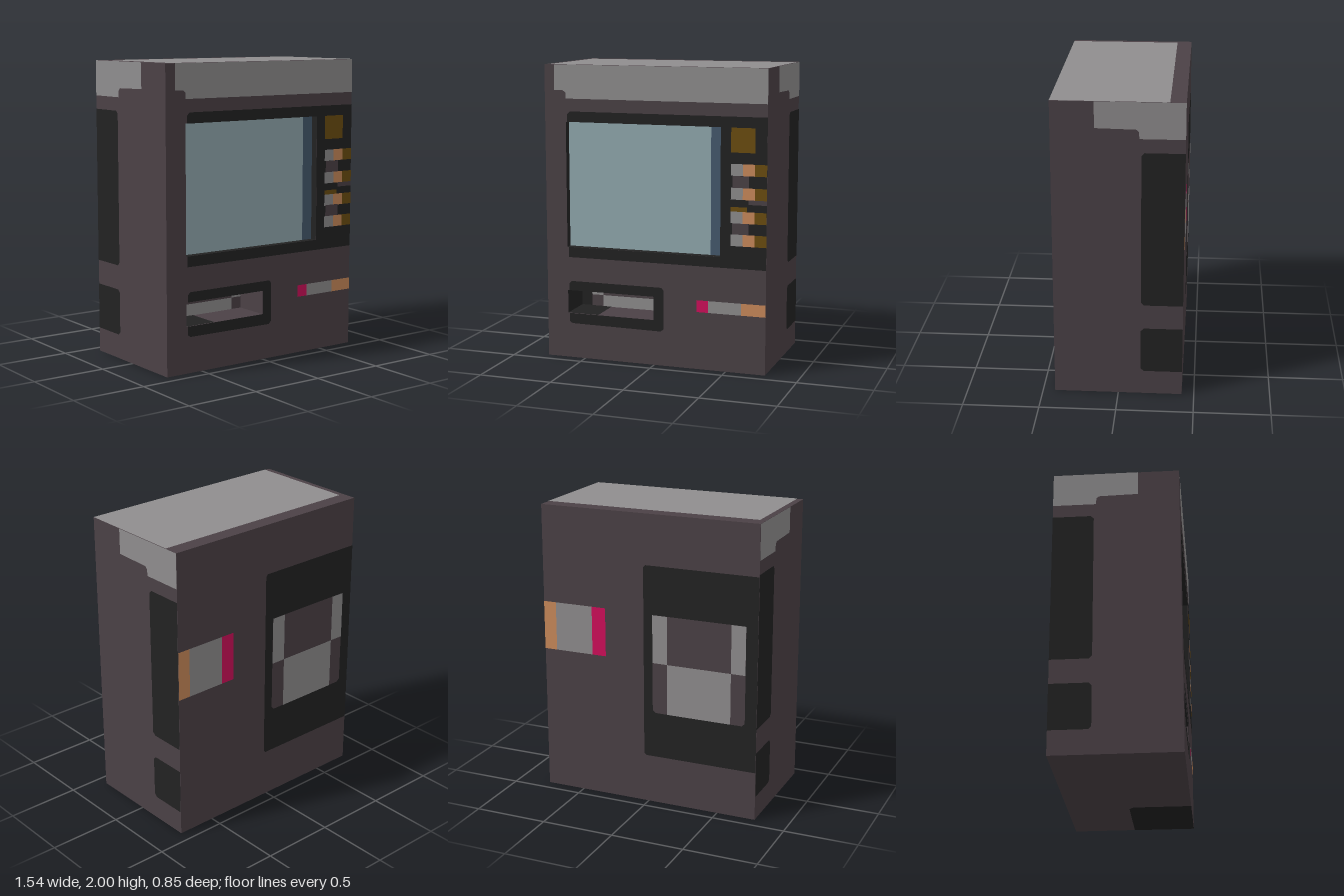
import * as THREE from 'three';

const W = 0.77, D = 0.42, H = 2;
const STEP = 0.002; // spacing between painted layers

const paint = (name, color) => {
  const m = new THREE.MeshStandardMaterial({ color });
  m.name = name;
  return m;
};

export function createModel() {
  const model = new THREE.Group();
  model.name = 'vendingMachine';

  const brown = paint('brown casing', 0x4b4146);
  const black = paint('black trim', 0x222222);
  const grey = paint('grey metal', 0x8f8d8e);
  const glass = paint('pale glass', 0x92a9af);
  const blue = paint('blue glass edge', 0x465a6e);
  const gold = paint('gold', 0x6c4d10);
  const orange = paint('orange', 0xca8a5b);
  const pink = paint('pink', 0xd00f5b);

  // A flat working plane: local x right, y up, z outward
  const plane = (name, x, y, z, rx = 0, ry = 0) => {
    const g = new THREE.Group();
    g.name = name;
    g.position.set(x, y, z);
    g.rotation.set(rx, ry, 0);
    model.add(g);
    return g;
  };
  const poly = (parent, name, mat, pts, layer = 0, holes = []) => {
    const shape = new THREE.Shape(pts.map(p => new THREE.Vector2(...p)));
    holes.forEach(h => shape.holes.push(new THREE.Path(h.map(p => new THREE.Vector2(...p)))));
    const mesh = new THREE.Mesh(new THREE.ShapeGeometry(shape), mat);
    mesh.name = name;
    mesh.position.z = layer * STEP;
    parent.add(mesh);
    return mesh;
  };
  // Rectangle with optional trimmed corners on the left (l) and right (r)
  const rect = (x0, y0, x1, y1, l = 0, r = 0) => {
    const pts = [];
    if (l) pts.push([x0, y1 - l], [x0, y0 + l], [x0 + l, y0]); else pts.push([x0, y1], [x0, y0]);
    if (r) pts.push([x1 - r, y0], [x1, y0 + r], [x1, y1 - r], [x1 - r, y1]); else pts.push([x1, y0], [x1, y1]);
    if (l) pts.push([x0 + l, y1]);
    return pts;
  };

  // Openings in the front
  const win = { x0: -0.62, y0: 0.77, x1: 0.46, y1: 1.62, d: 0.05 };
  const tray = { x0: -0.62, y0: 0.31, x1: 0, y1: 0.47, d: 0.25 };
  const outline = o => rect(o.x0, o.y0, o.x1, o.y1);

  // Front casing and trim
  const front = plane('front', 0, 0, D);
  poly(front, 'frontCasing', brown, rect(-W, 0, W, H), 0, [outline(win), outline(tray)]);
  poly(front, 'frontCanopy', grey,
    [[-0.7, H], [-0.7, 1.83], [-0.64, 1.83], [-0.62, 1.815], [-0.62, 1.775], [W, 1.775], [W, H]], 1);
  poly(front, 'windowFrame', black, [
    [-0.59, 1.69], [-0.61, 1.67], [-0.61, win.y1], [win.x1, win.y1], [win.x1, win.y0],
    [-0.61, win.y0], [-0.61, 0.7], [W, 0.7], [W, 1.69]], 1);
  poly(front, 'trayFrame', black, [
    [-0.59, 0.535], [-0.61, 0.515], [-0.61, tray.y1], [tray.x1, tray.y1], [tray.x1, tray.y0],
    [-0.61, tray.y0], [-0.61, 0.255], [-0.59, 0.24], [0.05, 0.235], [0.07, 0.255], [0.07, 0.515], [0.055, 0.535]], 1);

  // Keypad: display and four rows of buttons
  poly(front, 'display', gold, rect(0.53, 1.46, 0.69, 1.62), 2);
  for (const y of [0.85, 1.0, 1.155, 1.31]) {
    [grey, orange, gold].forEach((mat, i) => {
      const x = 0.53 + i * 0.08;
      poly(front, 'button', mat, rect(x, y, x + 0.08, y + 0.077), 2);
    });
  }
  for (const y of [0.927, 1.232]) poly(front, 'keypadGap', brown, rect(0.54, y, 0.65, y + 0.077), 2);
  poly(front, 'keypadLine', gold, rect(0.53, 1.077, 0.64, 1.107), 2);
  poly(front, 'keypadLine', brown, rect(0.65, 1.125, W, 1.155), 2);

  // Three-colour strips, from the pink end to the casing edge
  const strip = (face, y0, y1, xs) => [pink, grey, orange].forEach((mat, i) =>
    poly(face, 'strip', mat, rect(xs[i], y0, xs[i + 1], y1), 1));
  strip(front, 0.39, 0.47, [0.3, 0.38, 0.605, W]);

  // Recess walls
  const recess = (o, name, leftMat, rightMat, floorMat, topMat) => {
    const w = o.x1 - o.x0, h = o.y1 - o.y0, zc = D - o.d / 2, xc = (o.x0 + o.x1) / 2, yc = (o.y0 + o.y1) / 2;
    const wall = (part, mat, a, b, x, y, rx, ry) => {
      const g = plane(name + part, x, y, zc, rx, ry);
      poly(g, name + part, mat, rect(-a / 2, -b / 2, a / 2, b / 2));
      return g;
    };
    wall('LeftWall', leftMat, o.d, h, o.x0, yc, 0, Math.PI / 2);
    wall('RightWall', rightMat, o.d, h, o.x1, yc, 0, -Math.PI / 2);
    wall('Ceiling', topMat, w, o.d, xc, o.y1, Math.PI / 2, 0);
    return wall('Floor', floorMat, w, o.d, xc, o.y0, -Math.PI / 2, 0);
  };
  recess(win, 'window', black, black, black, black);
  const trayFloor = recess(tray, 'tray', black, brown, brown, black);
  poly(trayFloor, 'trayFloorShade', black, rect(-0.31, -0.125, -0.09, 0.125), 1);

  // Window glass
  const pane = plane('windowPane', 0, 0, D - win.d);
  poly(pane, 'glass', glass, rect(win.x0, win.y0, 0.38, win.y1));
  poly(pane, 'glassEdge', blue, rect(0.38, win.y0, win.x1, win.y1));

  // Flap pattern: two grey upper tabs and a grey lower centre on brown
  const flap = (face, x0, xa, xb, x1, y0, ym, y1, layer, cut) => {
    poly(face, 'flap', brown, rect(x0, y0, x1, y1, cut, cut), layer);
    poly(face, 'flapTab', grey, rect(x0, ym, xa, y1), layer + 1);
    poly(face, 'flapTab', grey, rect(xb, ym, x1, y1), layer + 1);
    poly(face, 'flapCentre', grey, rect(xa, y0, xb, ym), layer + 1);
  };
  const trayBack = plane('trayBack', 0, 0, D - tray.d);
  poly(trayBack, 'trayBackPanel', black, outline(tray));
  flap(trayBack, -0.545, -0.46, -0.08, 0, 0.31, 0.39, 0.47, 1, 0);

  // Back, with local x running toward the right side of the casing
  const back = plane('back', 0, 0, -D, 0, Math.PI);
  poly(back, 'backCasing', brown, rect(-W, 0, W, H));
  poly(back, 'backPanel', black, rect(-0.03, 0.335, W, 1.66, 0.015), 1);
  flap(back, 0.035, 0.14, 0.59, 0.69, 0.65, 1.0, 1.33, 2, 0.02);
  strip(back, 1.0, 1.335, [-0.31, -0.41, -0.68, -W]);

  // Mirrored sides
  for (const s of [1, -1]) {
    const side = plane(s > 0 ? 'leftSide' : 'rightSide', s * W, 0, 0, 0, s * Math.PI / 2);
    const flip = pts => pts.map(([x, y]) => [s * x, y]);
    poly(side, 'sideCasing', brown, rect(-D, 0, D, H));
    poly(side, 'sideCanopy', grey, flip(
      [[-0.145, H], [-0.145, 1.83], [0.115, 1.825], [0.13, 1.81], [0.135, 1.765], [D, 1.765], [D, H]]), 1);
    poly(side, 'sidePanelUpper', black, flip(rect(0.147, 0.64, D, 1.675, 0.02)), 1);
    poly(side, 'sidePanelLower', black, flip(rect(0.147, 0.165, D, 0.475, 0.02)), 1);
  }

  // Top and underside
  const top = plane('top', 0, H, 0, -Math.PI / 2);
  poly(top, 'topCasing', brown, rect(-W, -D, W, D));
  poly(top, 'topCanopy', grey, rect(-0.73, -D, W, 0.32), 1);
  const base = plane('base', 0, 0, 0, Math.PI / 2);
  poly(base, 'baseCasing', brown, rect(-W, -D, W, D));
  poly(base, 'basePatch', black, [[0.26, D], [0.26, 0.03], [0.29, 0], [W, 0], [W, D]], 0.5);

  return model;
}
